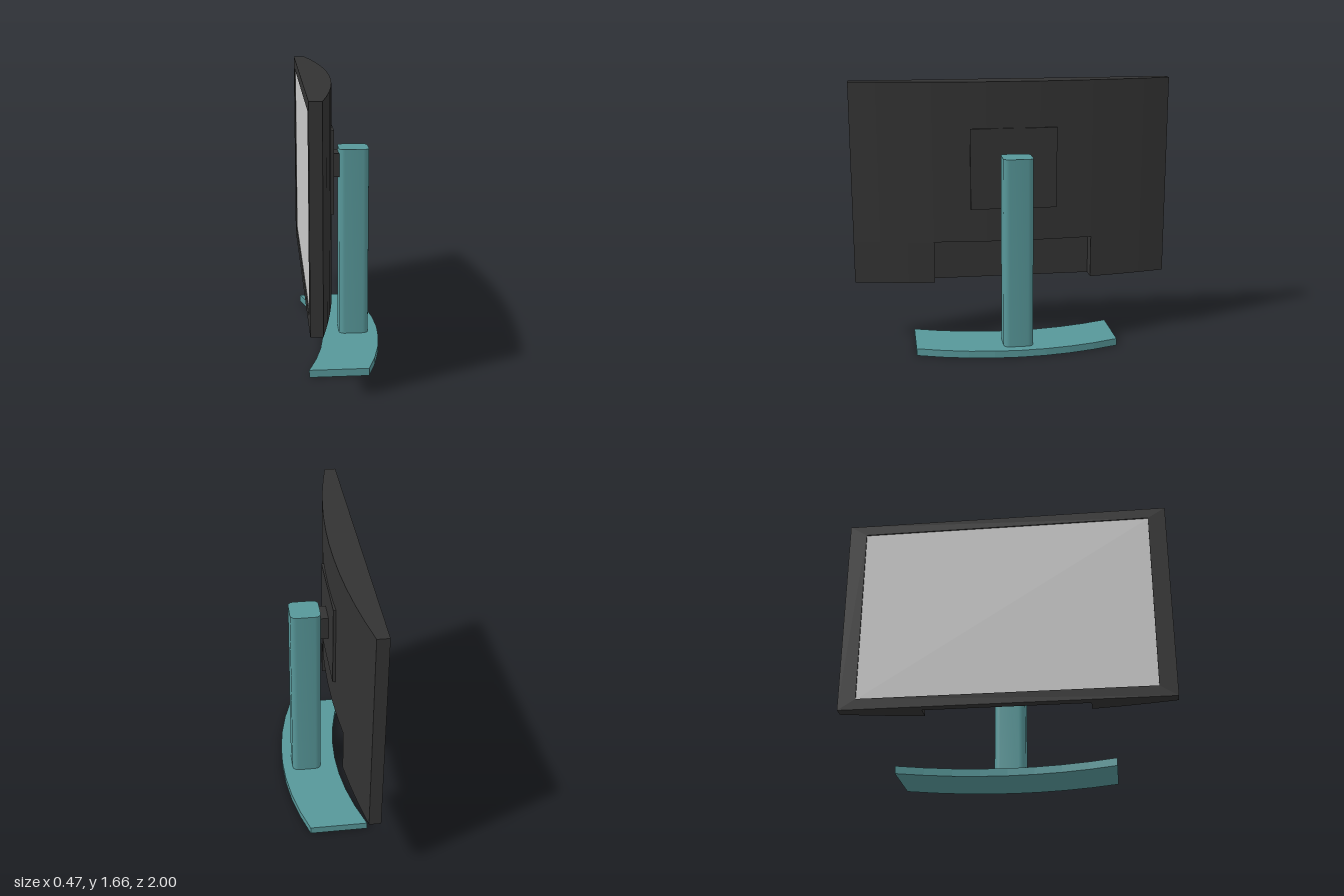
import * as THREE from 'three';
import { toCreasedNormals } from 'three/addons/utils/BufferGeometryUtils.js';

const dark = new THREE.MeshStandardMaterial({ color: 0x333333 });
const teal = new THREE.MeshStandardMaterial({ color: 0x579799 });
const grey = new THREE.MeshStandardMaterial({ color: 0xcccccc });

const FACE = -0.24, BOTTOM = 0.4, TOP = 1.665, RECESS = 0.01;
const NOTCH_TOP = 0.665, NOTCH_HALF = 0.5, NOTCH_X = -0.185;

function add(group, name, geometry, material) {
  const mesh = new THREE.Mesh(geometry, material);
  mesh.name = name;
  group.add(mesh);
  return mesh;
}

// Box given by its minimum and maximum corners
function box(group, name, [x0, y0, z0], [x1, y1, z1], material) {
  const mesh = add(group, name, new THREE.BoxGeometry(x1 - x0, y1 - y0, z1 - z0), material);
  mesh.position.set((x0 + x1) / 2, (y0 + y1) / 2, (z0 + z1) / 2);
  return mesh;
}

// Raises a plan outline of [x, z] points from y0 to y1
function prism(points, y0, y1) {
  const shape = new THREE.Shape(points.map(([x, z]) => new THREE.Vector2(x, -z)));
  const geometry = new THREE.ExtrudeGeometry(shape, { depth: y1 - y0, bevelEnabled: false });
  return geometry.rotateX(-Math.PI / 2).translate(0, y0, 0);
}

// Points of a shallow bow, from z0 to z1; sag is the drop in x at |z| = half
function bow(peak, sag, half, z0, z1, segments) {
  return Array.from({ length: segments + 1 }, (_, i) => {
    const z = z0 + (z1 - z0) * i / segments;
    return [peak - sag * (z / half) ** 2, z];
  });
}

function rectangle(path, halfWidth, y0, y1) {
  path.moveTo(-halfWidth, y0);
  path.lineTo(halfWidth, y0);
  path.lineTo(halfWidth, y1);
  path.lineTo(-halfWidth, y1);
  path.closePath();
  return path;
}

function createDisplay() {
  const display = new THREE.Group();
  display.name = 'display';
  const inner = FACE + RECESS;
  const back = (z0, z1, n) => bow(-0.065, 0.105, 1, z0, z1, n);

  // Bowed housing, with a notch cut into the lower back
  add(display, 'upperHousing',
    prism([[inner, -1], ...back(-1, 1, 12), [inner, 1]], NOTCH_TOP, TOP), dark);
  add(display, 'lowerHousing', prism([
    [inner, -1], ...back(-1, -NOTCH_HALF, 3), [NOTCH_X, -NOTCH_HALF],
    [NOTCH_X, NOTCH_HALF], ...back(NOTCH_HALF, 1, 3), [inner, 1],
  ], BOTTOM, NOTCH_TOP), dark);

  // Bezel frame around the slightly sunken screen
  const frame = rectangle(new THREE.Shape(), 1, BOTTOM, TOP);
  frame.holes.push(rectangle(new THREE.Path(), 0.893, 0.468, 1.6));
  const bezel = new THREE.ExtrudeGeometry(frame, { depth: RECESS, bevelEnabled: false });
  add(display, 'bezel', bezel.rotateY(Math.PI / 2).translate(FACE, 0, 0), dark);
  box(display, 'screen', [inner - 0.002, 0.468, -0.893], [inner + 0.01, 1.6, 0.893], grey);

  // Mounting plate and the short arm to the post
  box(display, 'mountPlate', [-0.12, 0.875, -0.27], [-0.057, 1.38, 0.27], dark);
  box(display, 'mountArm', [-0.07, 1.055, -0.07], [0, 1.2, 0.07], dark);
  return display;
}

function createStand() {
  const stand = new THREE.Group();
  stand.name = 'stand';

  // Curved foot: two parallel bows joined by straight ends
  const outer = bow(0.235, 0.115, 0.633, -0.633, 0.633, 8);
  const innerEdge = bow(-0.115, 0.115, 0.633, 0.633, -0.633, 8);
  add(stand, 'foot', prism([...outer, ...innerEdge], 0, 0.045), teal);

  // Upright post with rounded vertical edges
  const corners = [];
  const r = 0.036, cx = 0.08, hx = 0.092 - r, hz = 0.092 - r;
  [[1, 1], [-1, 1], [-1, -1], [1, -1]].forEach(([sx, sz], quarter) => {
    for (let i = 0; i <= 6; i++) {
      const a = (quarter + i / 6) * Math.PI / 2;
      corners.push([cx + sx * hx + r * Math.cos(a), sz * hz + r * Math.sin(a)]);
    }
  });
  add(stand, 'post', toCreasedNormals(prism(corners, 0.04, 1.228), 0.6), teal);
  return stand;
}

export function createModel() {
  const model = new THREE.Group();
  model.name = 'monitor';
  model.add(createDisplay(), createStand());
  return model;
}
